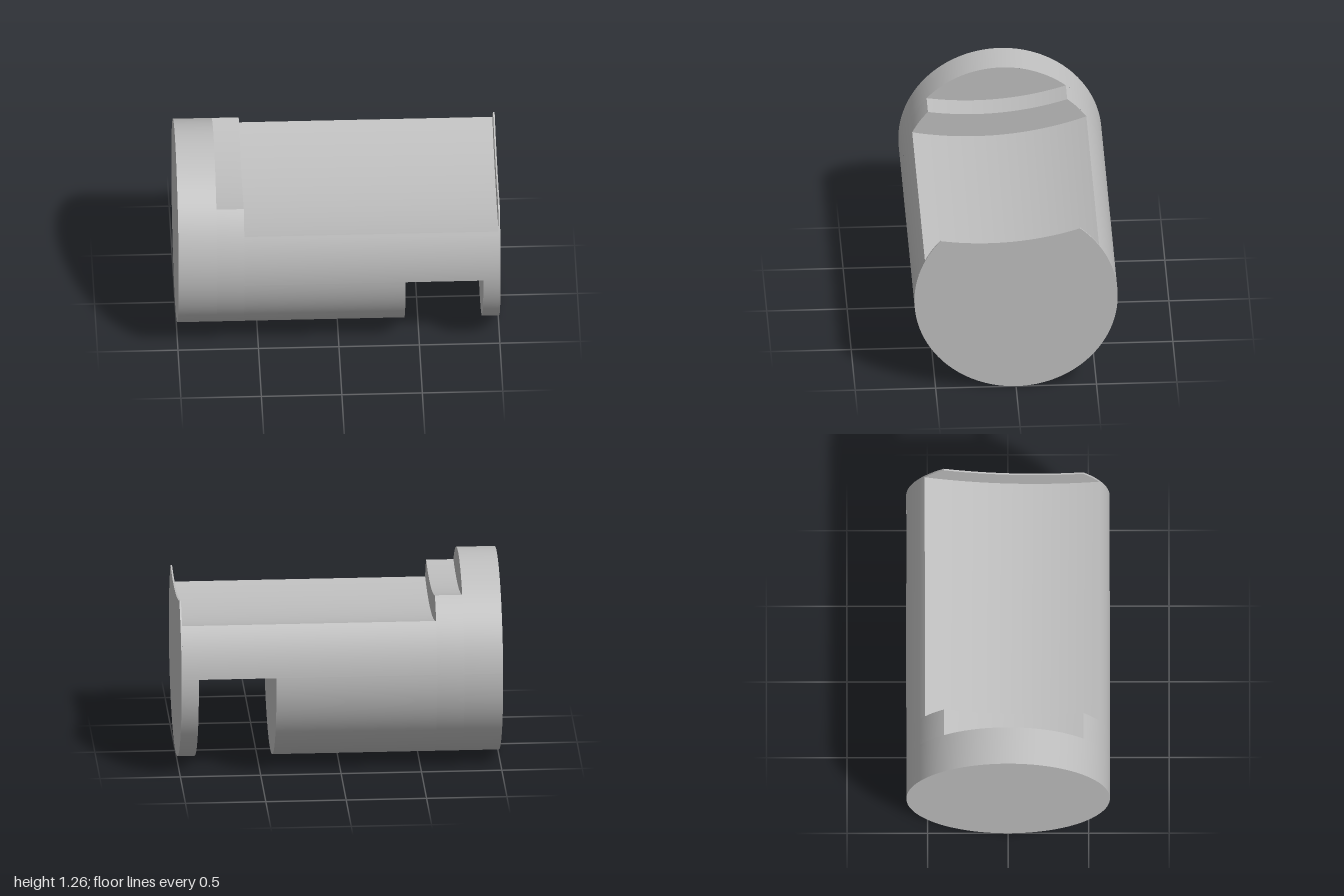
import * as THREE from 'three';

const R = 0.632;            // cylinder radius
const ARC_CENTRE = 2.25;    // height of the scooped cuts' common centre above the axis
const TILT = 4.4 * Math.PI / 180;
const SHALLOW = 43.4, DEEP = 59.2; // half-angles of the two scooped cuts
const rad = THREE.MathUtils.degToRad;

// Points along an arc, angles in degrees
function arc(cy, r, from, to) {
  const n = Math.max(2, Math.ceil(Math.abs(to - from) / 360 * (r > 1 ? 400 : 180)));
  return Array.from({ length: n + 1 }, (_, i) => {
    const a = rad(from + (to - from) * i / n);
    return new THREE.Vector2(r * Math.cos(a), cy + r * Math.sin(a));
  });
}
const rim = (from, to) => arc(0, R, from, to);

// Scooped cut running from the right rim to the left rim
function scoop(half) {
  const w = R * Math.sin(rad(half)), h = ARC_CENTRE - R * Math.cos(rad(half));
  const g = THREE.MathUtils.radToDeg(Math.atan2(w, h));
  return arc(ARC_CENTRE, Math.hypot(w, h), -90 + g, -90 - g);
}

// Wall swept along the axis, with the solid on the left of the path
function wallGeometry(path, x0, x1) {
  const pos = [], index = [];
  path.forEach((p, i) => {
    pos.push(p.x, p.y, x0, p.x, p.y, x1);
    if (i) {
      const a = 2 * i - 2;
      index.push(a, a + 2, a + 3, a, a + 3, a + 1);
    }
  });
  const g = new THREE.BufferGeometry();
  g.setAttribute('position', new THREE.Float32BufferAttribute(pos, 3));
  g.setIndex(index);
  g.computeVertexNormals();
  return g;
}

// Flat face across the axis; side is +1 or -1 (outlines are symmetric)
function faceGeometry(outline, x, side) {
  const pts = outline.filter((p, i) => p.distanceTo(outline[(i + 1) % outline.length]) > 1e-6);
  const g = new THREE.ShapeGeometry(new THREE.Shape(pts));
  if (side < 0) g.rotateY(Math.PI);
  return g.translate(0, 0, x);
}

export function createModel() {
  const grey = new THREE.MeshStandardMaterial({ color: 0xbfbfbf });
  grey.name = 'grey';
  const body = new THREE.Group();
  body.name = 'notchedCylinder';
  const add = (name, geometry) => {
    const m = new THREE.Mesh(geometry, grey);
    m.name = name;
    body.add(m);
  };
  const wall = (name, path, x0, x1) => add(name, wallGeometry(path, x0, x1));
  const face = (name, outline, x, side) => add(name, faceGeometry(outline, x, side));

  // Stations along the axis
  const start = -1, step1 = -0.76, step2 = -0.59, slot0 = 0.41, slot1 = 0.893, lip = 0.99, end = 1;

  // Outer skin
  wall('collarWall', rim(0, 360), start, step1);
  wall('stepWall', rim(90 + SHALLOW, 450 - SHALLOW), step1, step2);
  wall('rightSideWall', rim(0, 90 - DEEP), step2, lip);
  wall('leftSideWall', rim(90 + DEEP, 180), step2, lip);
  wall('lowerWall', rim(180, 360), step2, slot0);
  wall('lowerEndWall', rim(180, 360), slot1, lip);
  wall('lipWall', rim(90 + SHALLOW, 450 - SHALLOW), lip, end);

  // Scooped floors and slot ceiling
  wall('stepFloor', scoop(SHALLOW), step1, step2);
  wall('mainFloor', scoop(DEEP), step2, lip);
  wall('lipTop', scoop(SHALLOW), lip, end);
  wall('slotCeiling', [new THREE.Vector2(-R, 0), new THREE.Vector2(R, 0)], slot0, slot1);

  // Faces across the axis
  const crescent = [
    ...scoop(DEEP).reverse(), ...rim(90 - DEEP, 90 - SHALLOW),
    ...scoop(SHALLOW), ...rim(90 + SHALLOW, 90 + DEEP),
  ];
  face('collarEnd', rim(0, 360), start, -1);
  face('collarShoulder', [...rim(90 - SHALLOW, 90 + SHALLOW), ...scoop(SHALLOW).reverse()], step1, 1);
  face('stepShoulder', crescent, step2, 1);
  face('slotInnerFace', rim(180, 360), slot0, 1);
  face('slotOuterFace', rim(180, 360), slot1, -1);
  face('lipInnerFace', crescent, lip, -1);
  face('lipEnd', [...rim(90 + SHALLOW, 450 - SHALLOW), ...scoop(SHALLOW)], end, 1);

  // Lay the axis along x and tip the cuts slightly to the front
  body.rotation.set(0, Math.PI / 2, TILT);
  body.position.y = R;
  const model = new THREE.Group();
  model.name = 'model';
  model.add(body);
  return model;
}
